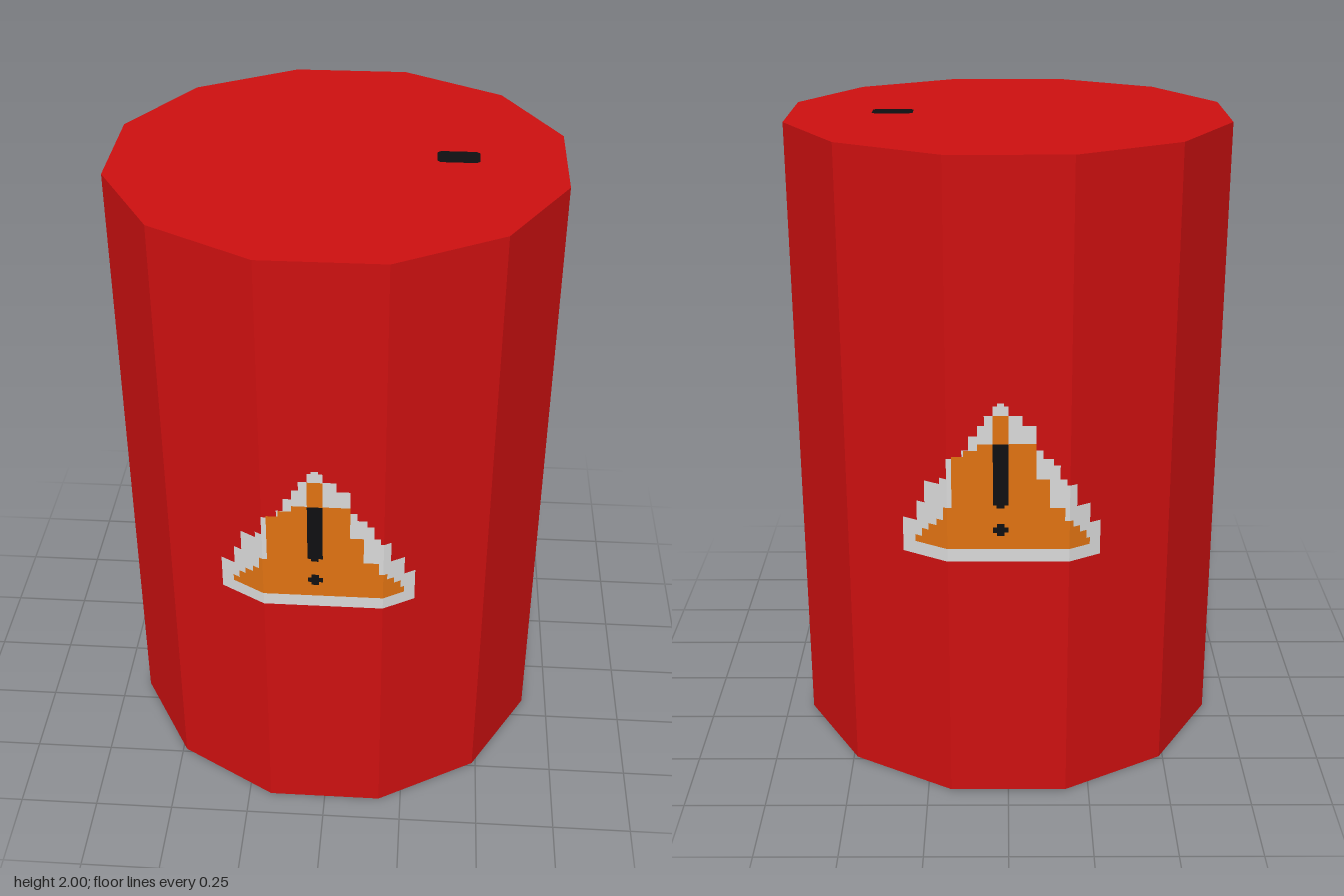
import * as THREE from 'three';

const material = (name, color) => Object.assign(new THREE.MeshStandardMaterial({ color }), { name });

const SIDES = 12;
const APOTHEM = 0.667;
const HEIGHT = 1.998;
const RADIUS = APOTHEM / Math.cos(Math.PI / SIDES);
const FOLD = APOTHEM * Math.tan(Math.PI / SIDES); // x where the front facet meets its neighbours

// Stepped decal layers: rows of [bottom, top, left, right]
const BORDER = [
  [0.836, 0.947, -0.313, 0.272], [0.947, 1.01, -0.27, 0.24], [1.01, 1.08, -0.246, 0.2],
  [1.08, 1.1, -0.2, 0.17], [1.1, 1.143, -0.18, 0.15], [1.143, 1.164, -0.18, 0.13],
  [1.164, 1.19, -0.135, 0.1], [1.19, 1.233, -0.115, 0.08], [1.233, 1.265, -0.09, 0.08],
  [1.265, 1.296, -0.07, 0.04], [1.296, 1.325, -0.045, 0], [1.325, 1.333, -0.033, -0.012],
];
const FILL = [
  [0.878, 0.9, -0.275, 0.24], [0.9, 0.926, -0.255, 0.23], [0.926, 0.947, -0.235, 0.21],
  [0.947, 0.968, -0.21, 0.19], [0.968, 1.01, -0.19, 0.165], [1.01, 1.1, -0.165, 0.12],
  [1.1, 1.17, -0.165, 0.08], [1.17, 1.19, -0.13, 0.08], [1.19, 1.21, -0.09, 0.08],
  [1.21, 1.296, -0.045, 0],
];
const MARK = [
  [1.01, 1.02, -0.034, -0.012], [1.02, 1.21, -0.045, 0],
  [0.921, 0.932, -0.034, -0.012], [0.932, 0.949, -0.045, 0], [0.949, 0.96, -0.034, -0.012],
];

// Lays the rows on the faceted wall, splitting each one at the facet edges
function wrappedRows(rows, lift) {
  const positions = [];
  const onWall = (x, y) =>
    [x, y, APOTHEM + lift - Math.max(0, Math.abs(x) - FOLD) * Math.tan(Math.PI / 6)];
  for (const [y0, y1, left, right] of rows) {
    const stops = [left, ...[-FOLD, FOLD].filter((x) => x > left && x < right), right];
    for (let i = 0; i + 1 < stops.length; i++) {
      const a = onWall(stops[i], y0), b = onWall(stops[i + 1], y0);
      const c = onWall(stops[i + 1], y1), d = onWall(stops[i], y1);
      positions.push(...a, ...b, ...c, ...a, ...c, ...d);
    }
  }
  const geometry = new THREE.BufferGeometry();
  geometry.setAttribute('position', new THREE.Float32BufferAttribute(positions, 3));
  geometry.computeVertexNormals();
  return geometry;
}

export function createModel() {
  const red = material('barrel red', 0xcc1010);
  const white = material('border white', 0xd8d8d8);
  const orange = material('warning orange', 0xdf7212);
  const black = material('mark black', 0x0f0f11);

  const model = new THREE.Group();
  model.name = 'barrel';
  const add = (parent, name, geometry, mat) => {
    const mesh = new THREE.Mesh(geometry, mat);
    mesh.name = name;
    parent.add(mesh);
    return mesh;
  };

  // Twelve-sided drum with flat facets, one of them facing the front
  const drum = new THREE.CylinderGeometry(RADIUS, RADIUS, HEIGHT, SIDES, 1, false, Math.PI / SIDES)
    .toNonIndexed();
  drum.computeVertexNormals();
  add(model, 'drum', drum, red).position.y = HEIGHT / 2;

  // Filler hole on the lid, a small plate with clipped corners
  const w = 0.0625, h = 0.039, c = 0.01;
  const outline = [
    [-w + c, -h], [w - c, -h], [w, -h + c], [w, h - c],
    [w - c, h], [-w + c, h], [-w, h - c], [-w, -h + c],
  ];
  const hole = new THREE.ShapeGeometry(new THREE.Shape(outline.map(([x, y]) => new THREE.Vector2(x, y))));
  hole.rotateX(-Math.PI / 2);
  add(model, 'fillerHole', hole, black).position.set(0.353, 2, -0.002);

  // Warning signs on the front and, slightly lower, on the back
  const layers = [
    ['signBorder', wrappedRows(BORDER, 0.002), white],
    ['signFill', wrappedRows(FILL, 0.004), orange],
    ['signMark', wrappedRows(MARK, 0.006), black],
  ];
  for (const [name, turn, drop] of [['frontSign', 0, 0], ['backSign', Math.PI, 0.04]]) {
    const sign = new THREE.Group();
    sign.name = name;
    sign.rotation.y = turn;
    sign.position.y = -drop;
    layers.forEach((layer) => add(sign, ...layer));
    model.add(sign);
  }
  return model;
}
